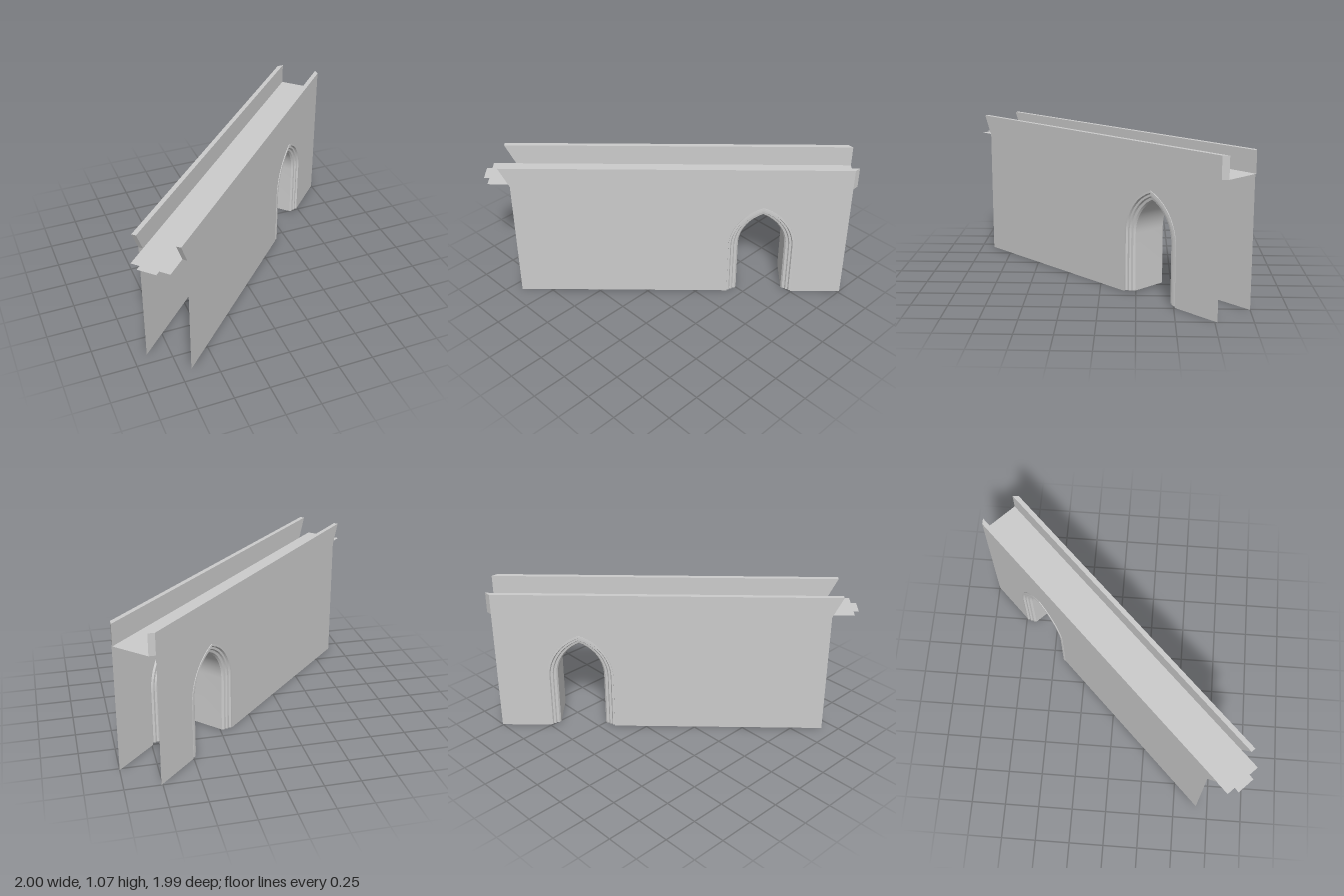
import * as THREE from 'three';
import { toCreasedNormals } from 'three/addons/utils/BufferGeometryUtils.js';

const FLOOR = 0.92, TOP = 1.07;
const FRONT = { outer: 0.165, inner: 0.132 };
const BACK = { outer: -0.17, inner: -0.138 };
const DOOR = { x: 0.646, half: 0.237, spring: 0.42, radius: 0.355, base: 0.012 };

// Pointed arch outline, inset from the outer edge, running left jamb to right jamb
function archPoints(inset, base) {
  const r = DOOR.radius - inset, c = DOOR.half - DOOR.radius;
  const apex = Math.acos(-c / r), right = [];
  const steps = 12;
  for (let i = 0; i <= steps; i++) {
    const a = apex * (1 - i / steps);
    right.push([c + r * Math.cos(a), DOOR.spring + r * Math.sin(a)]);
  }
  right.push([DOOR.half - inset, base]);
  const left = right.slice(1).reverse().map(([x, y]) => [-x, y]);
  return [...left, ...right].map(([x, y]) => new THREE.Vector2(DOOR.x + x, y));
}

// Flat wall sheet with the doorway notched out of its foot
function wallGeometry(n, end) {
  const s = new THREE.Shape();
  s.moveTo(-1.114, 0);
  s.lineTo(DOOR.x - DOOR.half, 0);
  archPoints(0, 0).forEach((p) => s.lineTo(p.x, p.y));
  s.lineTo(end, 0);
  s.lineTo(end, FLOOR);
  s.lineTo(-1.114, FLOOR);
  s.closePath();
  const g = new THREE.ShapeGeometry(s);
  if (n < 0) {
    // turn the rear sheet to face backwards
    const idx = g.index.array;
    for (let i = 0; i < idx.length; i += 3) [idx[i], idx[i + 1]] = [idx[i + 1], idx[i]];
    g.computeVertexNormals();
  }
  return g.translate(0, 0, n);
}

// Parapet: raked at the left end, mitred at the right end
function parapetGeometry(zMin, zMax, endAt) {
  const g = new THREE.BoxGeometry(1, 1, 1);
  const p = g.attributes.position;
  for (let i = 0; i < p.count; i++) {
    const top = p.getY(i) > 0;
    const z = p.getZ(i) > 0 ? zMax : zMin;
    const x = p.getX(i) > 0 ? endAt(z) : top ? -1.186 : -1.114;
    p.setXYZ(i, x, top ? TOP : FLOOR, z);
  }
  g.computeVertexNormals();
  return g;
}

// Skin a moulding profile of [inset, depth] pairs around the arch
function archSweep(profile) {
  const rings = profile.map(([inset, z]) =>
    archPoints(inset, DOOR.base).map((p) => [p.x, p.y, z]));
  const m = rings[0].length, index = [];
  for (let i = 0; i < rings.length - 1; i++) {
    for (let j = 0; j < m - 1; j++) {
      const a = i * m + j, b = a + 1, c = a + m, d = c + 1;
      index.push(a, c, b, b, c, d);
    }
  }
  const g = new THREE.BufferGeometry();
  g.setAttribute('position', new THREE.Float32BufferAttribute(rings.flat(2), 3));
  g.setIndex(index);
  return toCreasedNormals(g, 0.6);
}

export function createModel() {
  const model = new THREE.Group();
  model.name = 'gatewayWall';
  const stone = new THREE.MeshStandardMaterial({ color: 0xcccccc, side: THREE.DoubleSide });
  stone.name = 'grey stone';

  const add = (name, geometry) => {
    const mesh = new THREE.Mesh(geometry, stone);
    mesh.name = name;
    model.add(mesh);
  };

  // Both wall faces and their parapets
  const frontEnd = (z) => Math.SQRT2 - z;
  const backEnd = (z) => Math.SQRT2 + z;
  add('frontWall', wallGeometry(FRONT.outer, frontEnd(FRONT.outer)));
  add('backWall', wallGeometry(BACK.outer, backEnd(BACK.outer)));
  add('frontParapet', parapetGeometry(FRONT.inner, FRONT.outer, frontEnd));
  add('backParapet', parapetGeometry(BACK.outer, BACK.inner, backEnd));

  // Walkway with a stepped tongue at the left end
  const walk = new THREE.Shape([
    [-1.274, BACK.inner], [1.276, BACK.inner], [1.282, FRONT.inner], [-1.274, FRONT.inner],
    [-1.274, 0.057], [-1.312, 0.057], [-1.312, -0.076], [-1.274, -0.076],
  ].map(([x, z]) => new THREE.Vector2(x, -z)));
  add('walkway', new THREE.ShapeGeometry(walk).rotateX(-Math.PI / 2).translate(0, FLOOR, 0));

  // Stepped door mouldings on both faces and the passage between them
  const steps = [
    [0, 0], [0, 0.005], [0.014, 0.006], [0.021, -0.007], [0.036, -0.007],
    [0.043, -0.018], [0.06, -0.021], [0.07, -0.034],
  ];
  const front = steps.map(([d, z]) => [d, FRONT.outer + z]);
  const back = steps.map(([d, z]) => [d, BACK.outer - z]).reverse();
  add('frontDoorMoulding', archSweep(front));
  add('passage', archSweep([front[front.length - 1], back[0]]));
  add('backDoorMoulding', archSweep(back));

  // The wall runs diagonally
  model.rotation.y = Math.PI / 4;
  const root = new THREE.Group();
  root.name = 'wallSection';
  root.add(model);
  return root;
}
